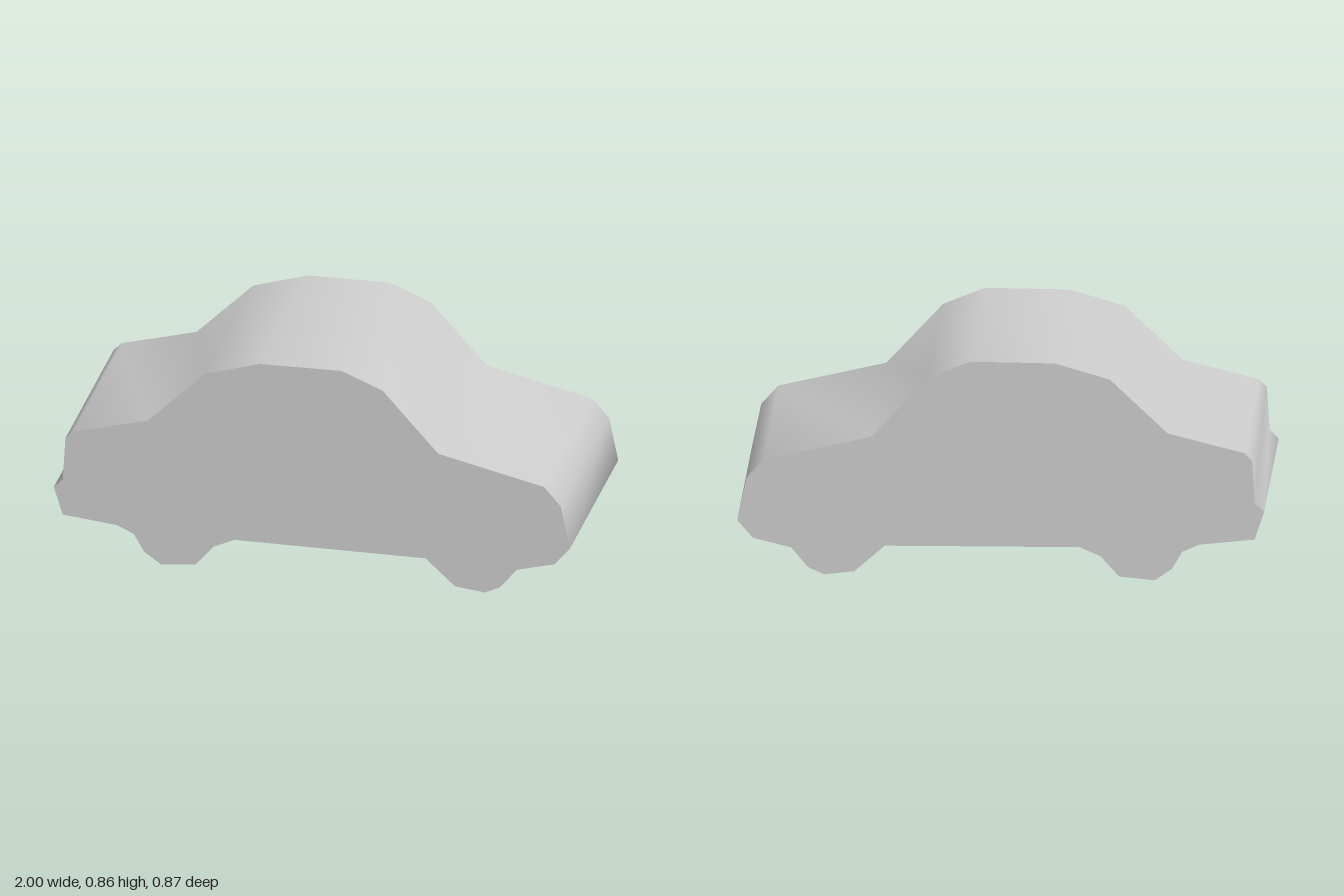
import * as THREE from 'three';
import { toCreasedNormals } from 'three/addons/utils/BufferGeometryUtils.js';

// Side outline of the car, counter-clockwise from the rear bumper tip
const OUTLINE = [
  // rear underside and rear wheel
  [-1, 0.285], [-0.965, 0.175], [-0.755, 0.15], [-0.69, 0.12], [-0.65, 0.05],
  [-0.585, 0.004], [-0.45, 0.016], [-0.38, 0.095], [-0.30, 0.13],
  // floor and front wheel
  [0.44, 0.12], [0.555, 0.015], [0.67, 0], [0.73, 0.027], [0.795, 0.105],
  // nose and bonnet
  [0.94, 0.14], [1, 0.21], [0.965, 0.38], [0.9, 0.455], [0.49, 0.555],
  // cabin
  [0.275, 0.795], [0.115, 0.863], [-0.205, 0.863], [-0.415, 0.803], [-0.635, 0.592],
  // boot and tail
  [-0.925, 0.52], [-0.955, 0.49], [-0.965, 0.32],
];
const WIDTH = 0.874;

export function createModel() {
  const group = new THREE.Group();
  group.name = 'carSilhouette';

  const bodyGrey = new THREE.MeshStandardMaterial({ color: 0xcccccc });
  bodyGrey.name = 'body grey';

  // One slab: flat sides, smoothly shaded rim
  const shape = new THREE.Shape(OUTLINE.map(([x, y]) => new THREE.Vector2(x, y)));
  const slab = new THREE.ExtrudeGeometry(shape, { depth: WIDTH, bevelEnabled: false });
  slab.translate(0, 0, -WIDTH / 2);

  const body = new THREE.Mesh(toCreasedNormals(slab, THREE.MathUtils.degToRad(80)), bodyGrey);
  body.name = 'carBody';
  group.add(body);
  return group;
}
